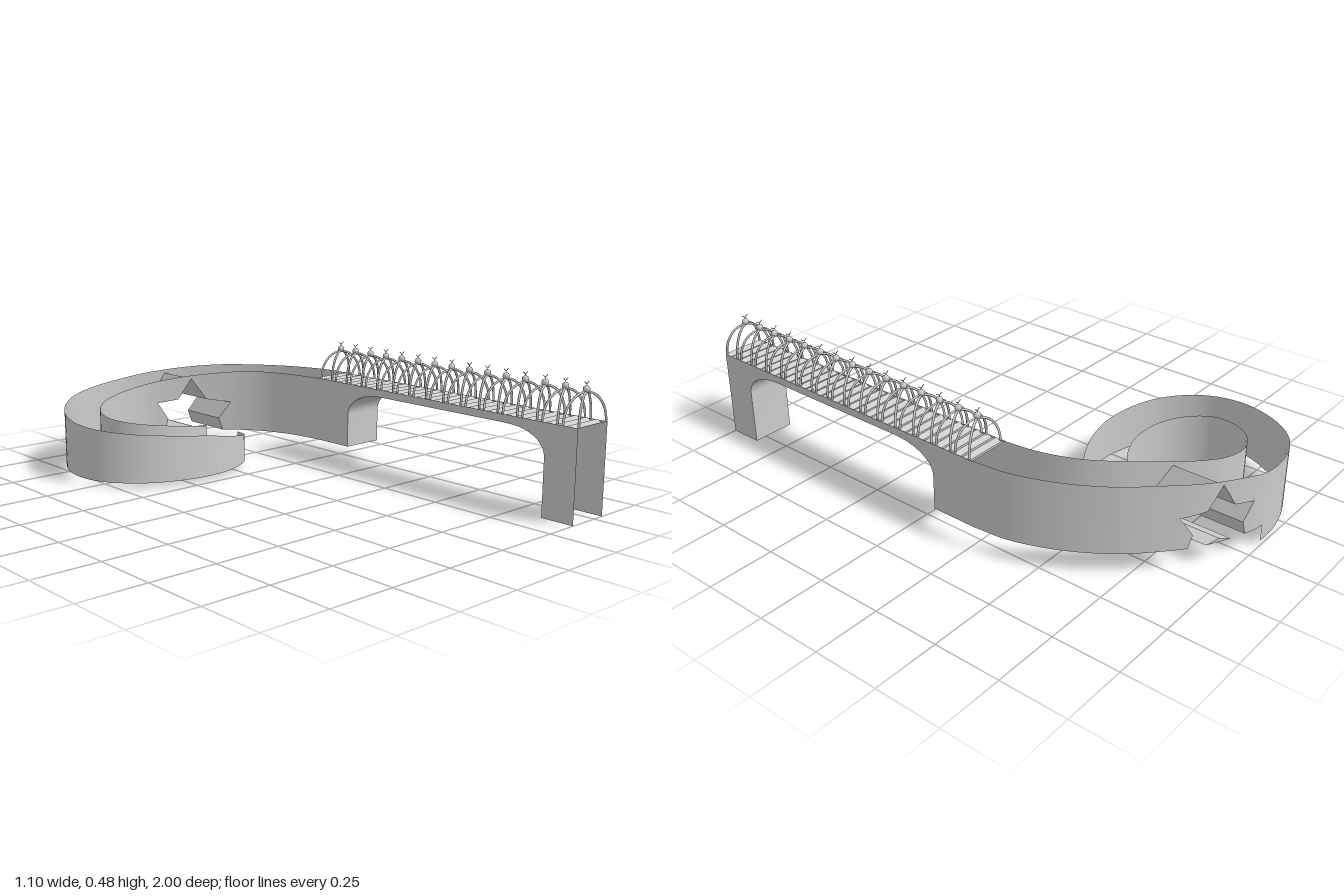
import * as THREE from 'three';

const mat = new THREE.MeshStandardMaterial({ color: 0xcccccc, side: THREE.DoubleSide });
const X0 = 0.377, X1 = 0.546, XM = (X0 + X1) / 2, DECK = 0.336;
const STAR_X = 0.102, WALL_FOOT = 0.08, SPIRAL_FOOT = 0.018;
const STAR_R = 0.225, STAR_L = 2 * STAR_X - STAR_R, STEP_X = -0.075;

function add(parent, name, geometry) {
  const mesh = new THREE.Mesh(geometry, mat);
  mesh.name = name;
  parent.add(mesh);
  return mesh;
}

// Surface strip through pairs of points [[a, b], ...]
function strip(pairs, flat = false) {
  const geo = new THREE.BufferGeometry();
  const index = [];
  for (let i = 0; i < pairs.length - 1; i++) {
    const k = i * 2;
    index.push(k, k + 1, k + 2, k + 1, k + 3, k + 2);
  }
  geo.setAttribute('position', new THREE.Float32BufferAttribute(pairs.flat(2), 3));
  geo.setIndex(index);
  const out = flat ? geo.toNonIndexed() : geo;
  out.computeVertexNormals();
  return out;
}

// Smooth wall path from [x, z, topHeight] points
function makePath(points) {
  const curve = new THREE.CatmullRomCurve3(points.map(([x, z, y]) => new THREE.Vector3(x, y, z)));
  const samples = curve.getSpacedPoints(90);
  const split = samples.findIndex(p => p.x < STEP_X);
  // Point on the first, x-monotone stretch
  const at = x => {
    let i = 1;
    while (i < split && samples[i].x > x) i++;
    const a = samples[i - 1], b = samples[i];
    return a.clone().lerp(b, (a.x - x) / (a.x - b.x));
  };
  return { samples, split, at };
}

const mirrorX = x => 2 * STAR_X - x;
// Right half of the star opening, from its foot to the top tip
const halfStar = [[0.199, WALL_FOOT], [0.187, 0.13], [STAR_R, 0.2], [0.149, 0.212], [STAR_X, 0.3]];
const starOutline = [...halfStar, ...halfStar.slice(0, -1).reverse().map(([x, y]) => [mirrorX(x), y])];
const starFloor = [[0.145, WALL_FOOT], [STAR_X, 0.095], [mirrorX(0.145), WALL_FOOT]];

// Curved wall with a star-shaped opening
function spiralWall(path, name) {
  const wall = new THREE.Group();
  wall.name = name;
  const { samples, split, at } = path;
  const on = ([x, y]) => [x, y, at(x).z];
  const down = (p, y) => [[p.x, p.y, p.z], [p.x, y, p.z]];
  const head = samples.slice(0, split);

  const before = [...head.filter(p => p.x > STAR_R), at(STAR_R)];
  const after = [at(STAR_L), ...head.filter(p => p.x < STAR_L), at(STEP_X)];
  const tail = [at(STEP_X), ...samples.slice(split)];
  add(wall, 'rampWall', strip(before.map(p => down(p, WALL_FOOT))));
  add(wall, 'middleWall', strip(after.map(p => down(p, WALL_FOOT))));
  add(wall, 'coilWall', strip(tail.map(p => down(p, SPIRAL_FOOT))));

  // Wall above the star
  const upper = starOutline.slice(2, -2);
  const columns = [];
  for (let i = 0; i < upper.length - 1; i++) {
    for (let j = 0; j < 4; j++) {
      columns.push(upper[i].map((v, k) => v + (upper[i + 1][k] - v) * j / 4));
    }
  }
  columns.push(upper[upper.length - 1]);
  add(wall, 'wallAboveStar', strip(columns.map(([x, y]) => down(at(x), y))));

  // Wall beside and below the star
  const side = [[[STAR_R, 0.2], [STAR_R, WALL_FOOT]], [[0.187, 0.13], [0.199, WALL_FOOT]]];
  add(wall, 'wallBesideStar', strip(side.map(c => c.map(on))));
  add(wall, 'wallBesideStar', strip(side.map(c => c.map(([x, y]) => on([mirrorX(x), y])))));
  add(wall, 'wallBelowStar', strip(starFloor.map(([x, y]) => [on([x, y]), on([x, WALL_FOOT])])));
  return wall;
}

function spiral() {
  const group = new THREE.Group();
  group.name = 'spiralRamp';
  const outer = makePath([
    [0.546, -0.26, 0.338], [0.53, -0.4, 0.338], [0.465, -0.57, 0.337], [0.375, -0.71, 0.335],
    [0.29, -0.8, 0.333], [0.16, -0.905, 0.321], [0.0, -0.98, 0.301], [-0.07, -0.997, 0.29],
    [-0.2, -0.99, 0.277], [-0.35, -0.935, 0.262], [-0.47, -0.82, 0.245], [-0.545, -0.65, 0.229],
    [-0.535, -0.5, 0.217], [-0.45, -0.375, 0.206], [-0.33, -0.305, 0.195], [-0.17, -0.275, 0.176],
    [-0.02, -0.305, 0.147], [0.09, -0.38, 0.123], [0.168, -0.52, 0.1]]);
  const inner = makePath([
    [0.377, -0.26, 0.335], [0.36, -0.38, 0.335], [0.315, -0.51, 0.335], [0.25, -0.605, 0.332],
    [0.17, -0.685, 0.323], [0.08, -0.76, 0.31], [-0.02, -0.817, 0.293], [-0.08, -0.838, 0.282],
    [-0.2, -0.84, 0.262], [-0.31, -0.79, 0.245], [-0.38, -0.7, 0.232], [-0.395, -0.6, 0.221],
    [-0.34, -0.505, 0.209], [-0.25, -0.45, 0.198], [-0.14, -0.435, 0.182], [-0.04, -0.47, 0.162],
    [0.02, -0.55, 0.143], [0.035, -0.64, 0.122], [0.02, -0.73, 0.105]]);
  group.add(spiralWall(outer, 'outerWall'), spiralWall(inner, 'innerWall'));

  // Star tunnel between the two walls
  const across = ([x, y]) => [[x, y, outer.at(x).z], [x, y, inner.at(x).z]];
  add(group, 'starTunnel', strip(starOutline.map(across), true));
  add(group, 'starTunnelFloor', strip(starFloor.map(across), true));
  return group;
}

function bridge() {
  const group = new THREE.Group();
  group.name = 'bridge';

  // Underside: front leg, rounded corners, span and rear leg, as (z, y)
  const arch = new THREE.Path();
  arch.moveTo(0.87, 0);
  arch.lineTo(0.87, 0.21);
  arch.bezierCurveTo(0.87, 0.27, 0.8, 0.307, 0.7, 0.307);
  arch.lineTo(0.1, 0.307);
  arch.bezierCurveTo(0.0, 0.307, -0.08, 0.27, -0.08, 0.21);
  arch.lineTo(-0.08, WALL_FOOT);
  const line = arch.getPoints(10);
  add(group, 'underside', strip(line.map(p => [[X0, p.y, p.x], [X1, p.y, p.x]])));

  // Side walls
  const outline = new THREE.Shape([
    ...line,
    new THREE.Vector2(-0.26, WALL_FOOT), new THREE.Vector2(-0.26, DECK),
    new THREE.Vector2(1, DECK), new THREE.Vector2(1, 0)]);
  for (const x of [X0, X1]) {
    add(group, 'sideWall', new THREE.ShapeGeometry(outline).rotateY(-Math.PI / 2)).position.x = x;
  }

  // Ridged deck
  const ridges = [];
  for (let i = 0; i <= 60; i++) {
    const z = 1 - 1.26 * i / 60, y = i % 2 ? DECK - 0.008 : DECK + 0.002;
    ridges.push([[X0, y, z], [X1, y, z]]);
  }
  add(group, 'deck', strip(ridges, true));
  return group;
}

// Two crossed hoops topped by a ball and a small fork
function hoopPair(z) {
  const group = new THREE.Group();
  group.name = 'crossedHoops';
  for (const s of [-1, 1]) {
    const points = [];
    for (let i = 0; i <= 12; i++) {
      const a = Math.PI * i / 12, c = Math.cos(a);
      points.push(new THREE.Vector3(0.079 * c, 0.108 * Math.sin(a), 0.031 * c * s));
    }
    add(group, 'hoop', new THREE.TubeGeometry(new THREE.CatmullRomCurve3(points), 20, 0.0045, 6));
    const prong = add(group, 'forkProng', new THREE.CylinderGeometry(0.0015, 0.0015, 0.015, 5));
    prong.position.set(0.006 * s, 0.139, 0);
    prong.rotation.z = -s * 0.95;
  }
  add(group, 'ball', new THREE.SphereGeometry(0.013, 10, 8)).position.y = 0.117;
  add(group, 'forkStem', new THREE.CylinderGeometry(0.0015, 0.0015, 0.01, 5)).position.y = 0.131;
  group.position.set(XM, DECK, z);
  return group;
}

export function createModel() {
  const model = new THREE.Group();
  model.name = 'bridgeWithSpiralRamp';
  model.add(bridge(), spiral());
  for (let i = 0; i < 15; i++) model.add(hoopPair(0.967 - i * 0.084));
  return model;
}
